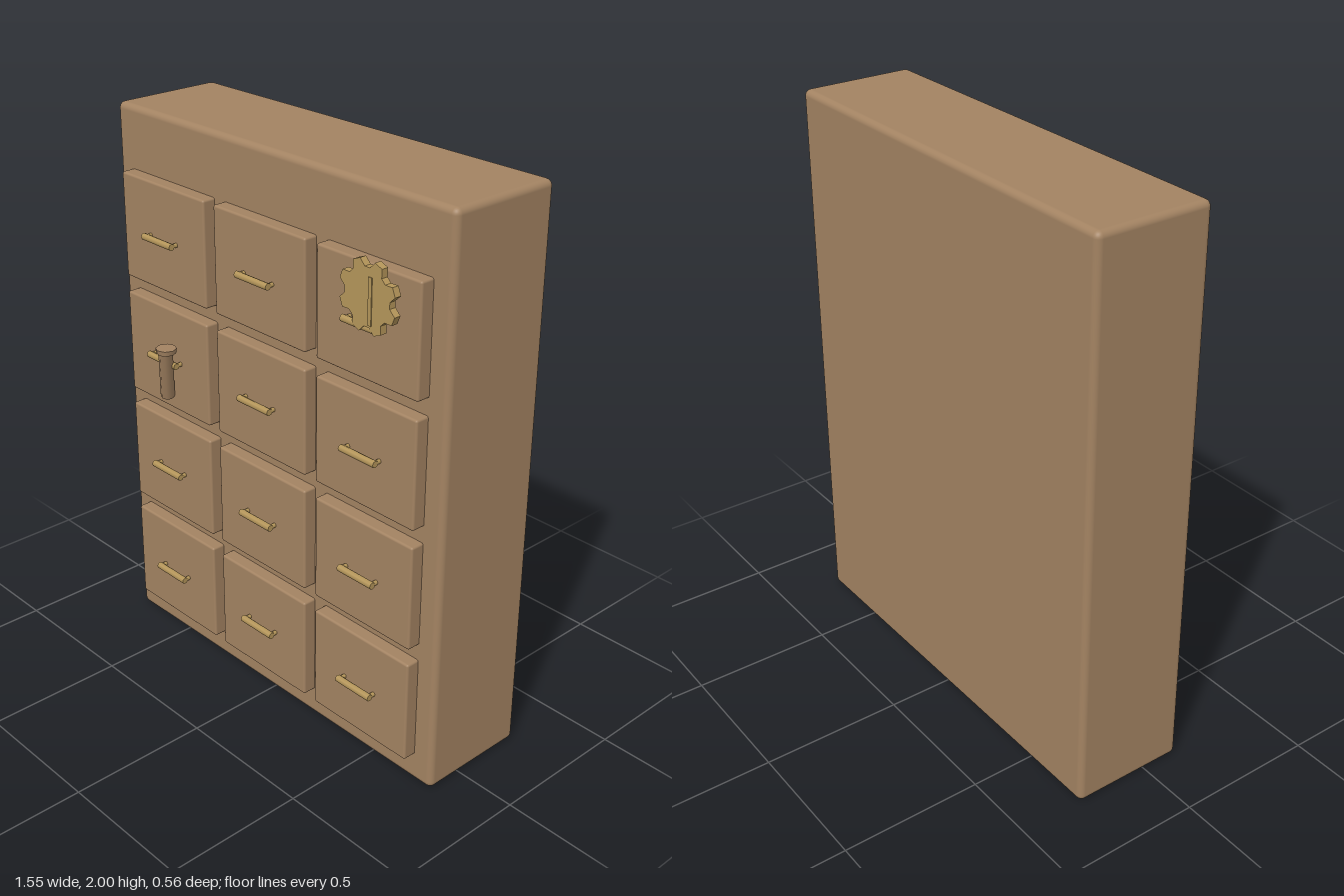
import * as THREE from 'three';
import { RoundedBoxGeometry } from 'three/addons/geometries/RoundedBoxGeometry.js';

const wood = new THREE.MeshStandardMaterial({ name: 'wood', color: 0xa38362 });
const brass = new THREE.MeshStandardMaterial({ name: 'brass', color: 0xb5965a });

function add(parent, name, geometry, material, x = 0, y = 0, z = 0) {
  const mesh = new THREE.Mesh(geometry, material);
  mesh.name = name;
  mesh.position.set(x, y, z);
  parent.add(mesh);
  return mesh;
}

// Cylinder running between two points
function rod(parent, name, a, b, radius, material, sides = 8) {
  const from = new THREE.Vector3(...a), to = new THREE.Vector3(...b);
  const dir = to.clone().sub(from);
  const mesh = add(parent, name, new THREE.CylinderGeometry(radius, radius, dir.length(), sides), material);
  mesh.position.copy(from).add(to).multiplyScalar(0.5);
  mesh.quaternion.setFromUnitVectors(new THREE.Vector3(0, 1, 0), dir.normalize());
  return mesh;
}

// Drawer front with its bar pull
function drawer(x, y) {
  const group = new THREE.Group();
  group.name = 'drawer';
  group.position.set(x, y, 0);
  add(group, 'drawerFront', new RoundedBoxGeometry(0.434, 0.375, 0.07, 2, 0.008), wood, 0, 0, 0.153);
  const pull = new THREE.Group();
  pull.name = 'pull';
  rod(pull, 'pullBar', [-0.076, -0.002, 0.213], [0.076, -0.002, 0.213], 0.012, brass);
  for (const side of [-1, 1]) {
    rod(pull, 'pullPost', [side * 0.068, -0.002, 0.18], [side * 0.068, -0.002, 0.213], 0.008, brass);
  }
  group.add(pull);
  return group;
}

// Toothed disc with eight lobes
function cogGeometry() {
  const points = [];
  for (let i = 0; i < 8; i++) {
    const mid = (i + 0.5) * Math.PI / 4;
    for (const [offset, r] of [[-0.28, 0.093], [-0.13, 0.117], [0.13, 0.117], [0.28, 0.093]]) {
      points.push(new THREE.Vector2(Math.cos(mid + offset) * r, Math.sin(mid + offset) * r));
    }
  }
  return new THREE.ExtrudeGeometry(new THREE.Shape(points), {
    depth: 0.024, bevelEnabled: false,
  });
}

export function createModel() {
  const model = new THREE.Group();
  model.name = 'drawerCabinet';

  add(model, 'cabinetBody', new RoundedBoxGeometry(1.55, 2, 0.415, 3, 0.022), wood, 0, 1, -0.068);

  // Three columns of four drawers
  for (const x of [-0.485, -0.002, 0.482]) {
    for (let row = 0; row < 4; row++) model.add(drawer(x, 0.293 + row * 0.4335));
  }

  // Cog hanging on the top corner drawer
  const cog = new THREE.Group();
  cog.name = 'cog';
  cog.position.set(0.52, 1.693, 0);
  add(cog, 'cogDisc', cogGeometry(), brass, 0, 0, 0.202);
  add(cog, 'cogRidge', new THREE.BoxGeometry(0.014, 0.15, 0.006), brass, 0.014, -0.01, 0.226);
  rod(cog, 'cogStud', [0.015, 0, 0.18], [0.015, 0, 0.205], 0.025, wood);
  model.add(cog);

  // Tilted peg leaning out from the second row
  const peg = new THREE.Group();
  peg.name = 'peg';
  rod(peg, 'pegShaft', [-0.476, 1.025, 0.205], [-0.428, 1.222, 0.243], 0.025, wood);
  add(peg, 'pegHead', new THREE.CylinderGeometry(0.037, 0.034, 0.018, 8), wood, -0.424, 1.224, 0.243);
  model.add(peg);

  return model;
}
